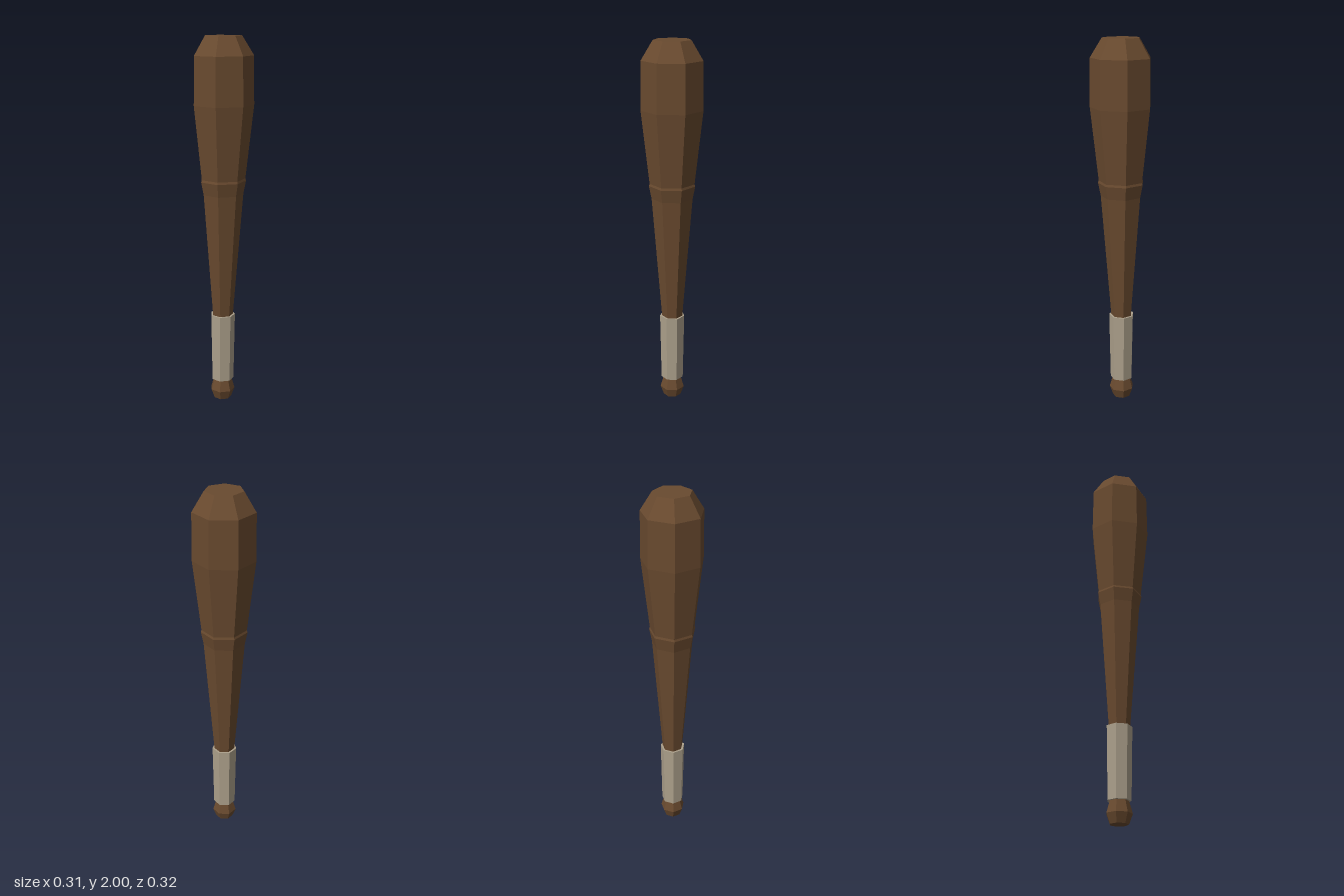
import * as THREE from 'three';

const SIDES = 7;

// Seven-sided turned solid from [radius, height] pairs, with a corner pointing to -x
function turned(name, profile, material) {
  const points = profile.map(([r, y]) => new THREE.Vector2(r, y));
  const mesh = new THREE.Mesh(new THREE.LatheGeometry(points, SIDES, -Math.PI / 2), material);
  mesh.name = name;
  return mesh;
}

export function createModel() {
  const wood = new THREE.MeshStandardMaterial({ color: 0x694a2f, flatShading: true });
  wood.name = 'dark wood';
  const cloth = new THREE.MeshStandardMaterial({ color: 0xaca08b, flatShading: true });
  cloth.name = 'grip cloth';

  const bat = new THREE.Group();
  bat.name = 'bat';

  // Knob at the foot of the handle
  bat.add(turned('knob', [[0, 0], [0.049, 0], [0.068, 0.052], [0.05, 0.115], [0, 0.115]], wood));

  // Wrapped grip, slightly wider towards the top
  bat.add(turned('grip', [[0, 0.115], [0.062, 0.115], [0.069, 0.498], [0, 0.498]], cloth));

  // Shaft flaring into the barrel, with a small lip where the two meet
  bat.add(turned('barrel', [
    [0, 0.49], [0.057, 0.49], [0.111, 1.18], [0.125, 1.25], [0.121, 1.262],
    [0.164, 1.65], [0.161, 1.9], [0.099, 2], [0, 2],
  ], wood));

  // Centre the odd-sided outline on x = 0
  bat.children.forEach((part) => { part.position.x = 0.008; });
  return bat;
}
